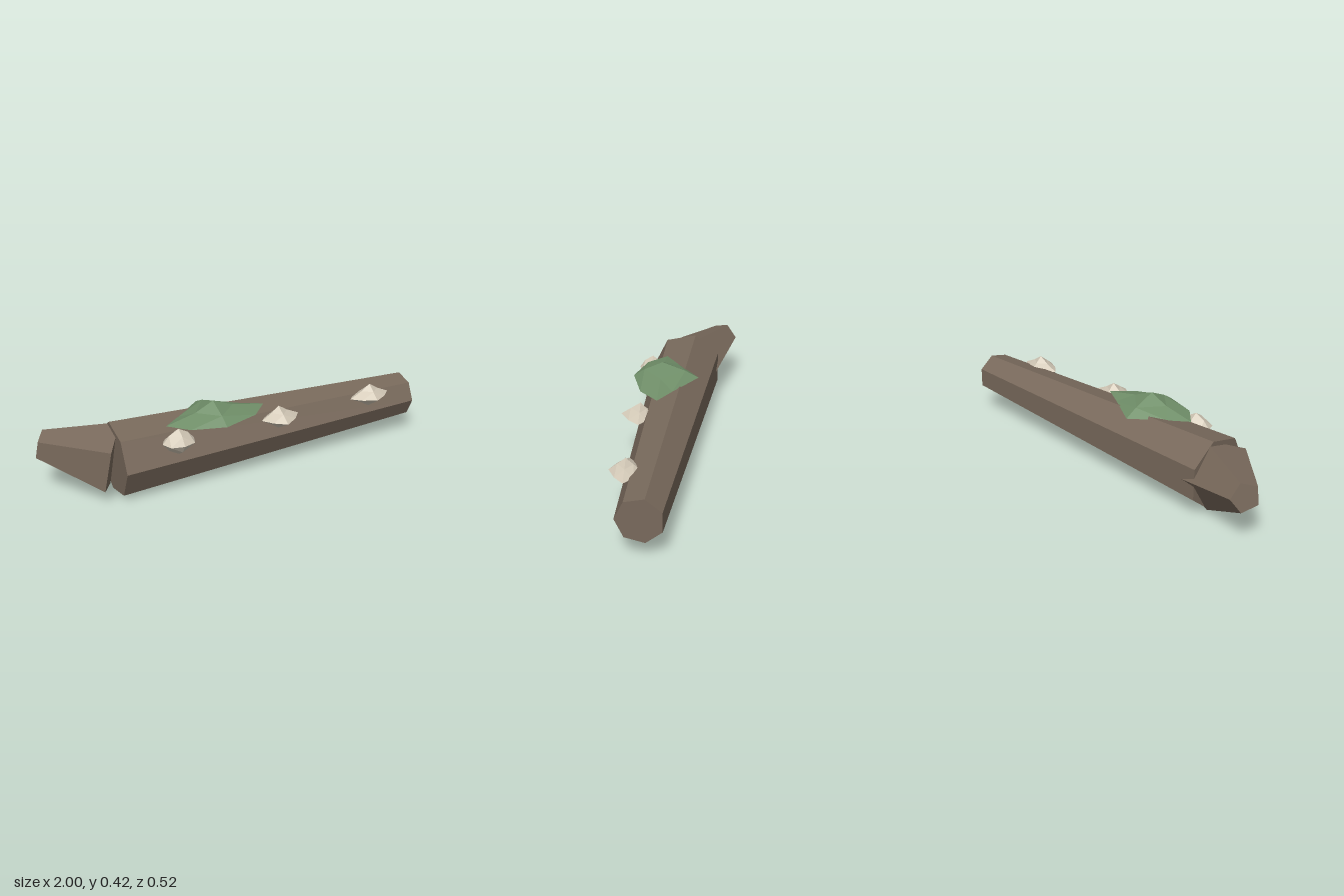
import * as THREE from 'three';

const mat = (color) => new THREE.MeshStandardMaterial({ color, flatShading: true });
const V = (a) => new THREE.Vector3(...a);

// Tapered prism between two points; its first corner points towards "corner"
function limb(name, a, b, ra, rb, sides, corner, material) {
  const p = V(a), q = V(b);
  const y = q.clone().sub(p), length = y.length();
  y.normalize();
  const x = y.clone().cross(V(corner)).normalize();
  const z = x.clone().cross(y);
  const geo = new THREE.CylinderGeometry(rb, ra, length, sides);
  geo.applyMatrix4(new THREE.Matrix4().makeBasis(x, y, z).setPosition(p.add(q).multiplyScalar(0.5)));
  const mesh = new THREE.Mesh(geo, material);
  mesh.name = name;
  return mesh;
}

// Uneven faceted clump: a subdivided octahedron with its own reach in each
// direction. Mid-edge points are drawn in by the factors in "mids".
function clump(name, center, hi, lo, mids, material) {
  const geo = new THREE.OctahedronGeometry(1, 1);
  const pos = geo.attributes.position;
  for (let i = 0; i < pos.count; i++) {
    const s = [pos.getX(i), pos.getY(i), pos.getZ(i)].map((c) => (Math.abs(c) < 0.01 ? 0 : Math.sign(c)));
    let f = [1, 1, 1];
    if (s[0] && s[1]) f = [mids.xy[0], mids.xy[1], 0];
    else if (s[1] && s[2]) f = [0, mids.yz[0], mids.yz[1]];
    else if (s[0] && s[2]) f = s[2] > 0 ? [mids.front[0], 0, mids.front[1]] : [mids.back[0], 0, mids.back[1]];
    pos.setXYZ(i, ...s.map((d, k) => d * f[k] * (d > 0 ? hi[k] : lo[k])));
  }
  geo.computeVertexNormals();
  const mesh = new THREE.Mesh(geo, material);
  mesh.name = name;
  mesh.position.set(...center);
  return mesh;
}

export function createModel() {
  const group = new THREE.Group();
  group.name = 'fallenLog';
  const bark = mat(0x78695b), moss = mat(0x708f69), cream = mat(0xd3c9b7);

  // Trunk and the broken branch at its thick end
  group.add(limb('trunk', [-0.662, 0.184, -0.007], [0.995, 0.203, 0.067], 0.187, 0.113, 7, [0, 0, 1], bark));
  group.add(limb('branchStub', [-0.663, 0.184, -0.012], [-0.966, 0.25, -0.2], 0.182, 0.074, 5, [0.19, 0, -0.305], bark));

  // Moss patch on top
  group.add(clump('mossPatch', [-0.165, 0.343, 0.085], [0.285, 0.08, 0.15], [0.255, 0.05, 0.187],
    { xy: [0.38, 0.44], yz: [0.45, 0.63], front: [0.66, 0.63], back: [0.62, 0.36] }, moss));

  // Row of fungi along the front
  const wide = { xy: [0.42, 0.5], yz: [0.5, 0.5], front: [0.6, 0.55], back: [0.6, 0.6] };
  const round = { xy: [0.6, 0.58], yz: [0.6, 0.6], front: [0.75, 0.75], back: [0.7, 0.7] };
  group.add(clump('fungusLeft', [0.715, 0.288, 0.16], [0.118, 0.064, 0.08], [0.115, 0.06, 0.07], wide, cream));
  group.add(clump('fungusMiddle', [0.165, 0.288, 0.16], [0.115, 0.064, 0.097], [0.095, 0.06, 0.06], wide, cream));
  group.add(clump('fungusRight', [-0.39, 0.29, 0.16], [0.082, 0.066, 0.07], [0.085, 0.07, 0.06], round, cream));

  return group;
}
